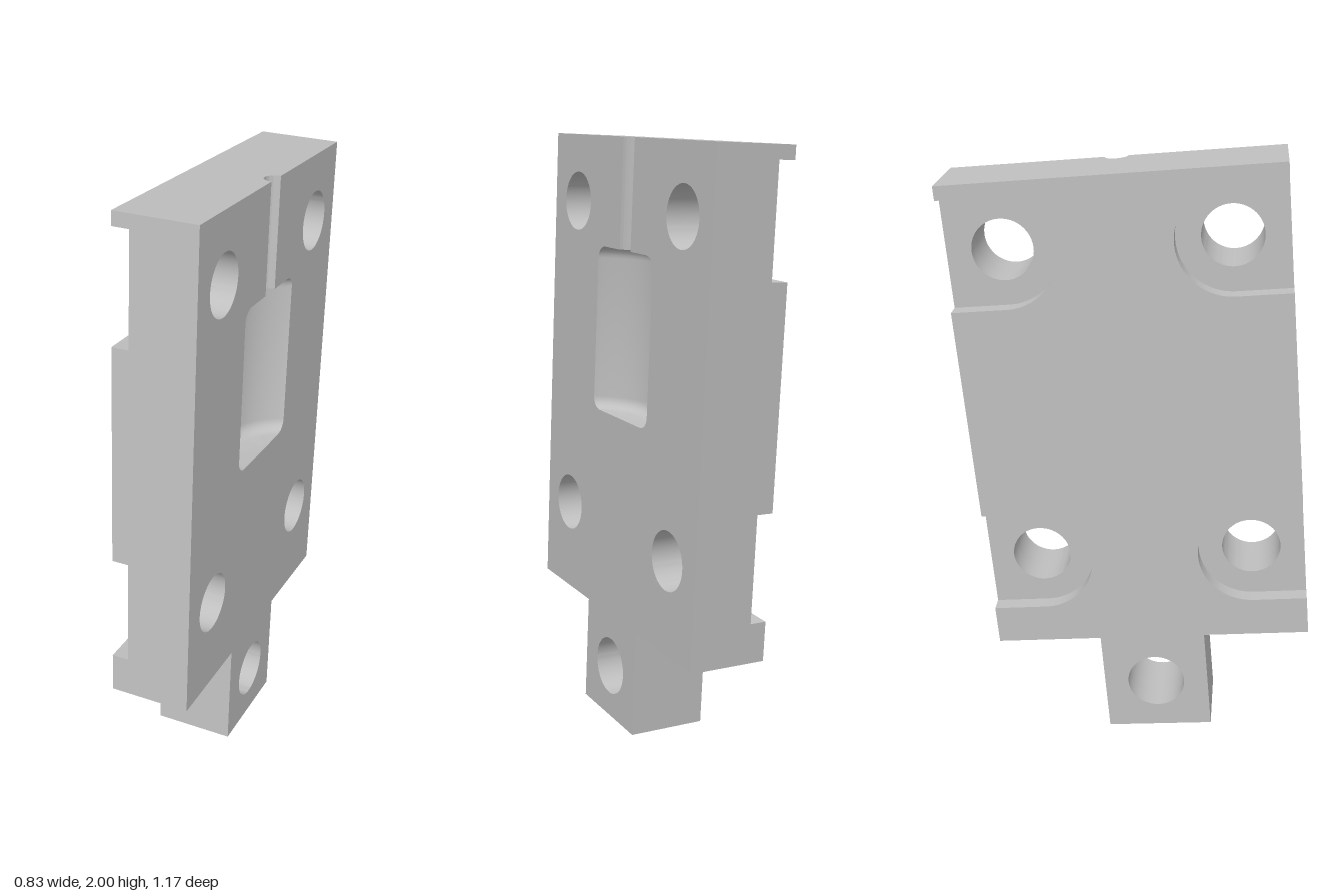
import * as THREE from 'three';
import { toCreasedNormals } from 'three/addons/utils/BufferGeometryUtils.js';

// Plate dimensions in its own frame: x across, y along, z through the thickness
const HALF_W = 0.53, TOP = 0.956, BASE = -0.63;
const TAB_W = 0.178, TAB_END = -0.988;
const FRONT = 0.132, BACK = -0.132, SLOT_Z = -0.077, CORE_Z = 0;
const HOLE_X = 0.354, HOLE_Y = [-0.323, 0.736], HOLE_R = 0.097, SLOT_R = 0.176;
const TAB_HOLE_Y = -0.81;
const GROOVE_R = 0.037;
const POCKET = { low: 0.056, high: 0.602, r: 0.206, axis: 0.086, fillet: 0.04 };

const circle = (x, y) => new THREE.Path().absarc(x, y, HOLE_R, 0, Math.PI * 2, true);

// Outline of plate and tab; right, top and left may add cut-outs on their edges
function outline(right, top, left) {
  const s = new THREE.Shape();
  s.moveTo(-TAB_W, BASE);
  s.lineTo(-TAB_W, TAB_END);
  s.lineTo(TAB_W, TAB_END);
  s.lineTo(TAB_W, BASE);
  s.lineTo(HALF_W, BASE);
  if (right) right(s);
  s.lineTo(HALF_W, TOP);
  if (top) top(s);
  s.lineTo(-HALF_W, TOP);
  if (left) left(s);
  s.lineTo(-HALF_W, BASE);
  s.holes.push(circle(0, TAB_HOLE_Y));
  return s;
}

function addCornerHoles(shape) {
  for (const y of HOLE_Y) for (const x of [-HOLE_X, HOLE_X]) shape.holes.push(circle(x, y));
  return shape;
}

function extrude(shape, z0, z1) {
  const g = new THREE.ExtrudeGeometry(shape, { depth: z1 - z0, bevelEnabled: false, curveSegments: 32 });
  g.translate(0, 0, z0);
  return toCreasedNormals(g, 0.5);
}

// Pocket rows [y, radius] from top to bottom: flat end, fillet, straight wall, mirrored
function pocketRows() {
  const { low, high, r, axis, fillet } = POCKET;
  const half = [[0, axis]];
  for (let i = 0; i <= 6; i++) {
    const a = (i / 6) * Math.PI / 2;
    half.push([fillet * (1 - Math.cos(a)), r - fillet + fillet * Math.sin(a)]);
  }
  return [
    ...half.map(([d, q]) => [high - d, q]),
    ...half.map(([d, q]) => [low + d, q]).reverse(),
  ];
}

// Part-cylinder hollow whose axis lies just in front of the face
function pocketGeometry(rows) {
  const n = 32;
  const g = new THREE.PlaneGeometry(1, 1, n, rows.length - 1);
  const p = g.attributes.position;
  rows.forEach(([y, r], j) => {
    const span = Math.acos(Math.min(1, POCKET.axis / r));
    for (let i = 0; i <= n; i++) {
      const a = span * (2 * i / n - 1);
      p.setXYZ(j * (n + 1) + i, r * Math.sin(a), y, FRONT + POCKET.axis - r * Math.cos(a));
    }
  });
  return toCreasedNormals(g, 0.6);
}

export function createModel() {
  const grey = new THREE.MeshStandardMaterial({ color: 0xbfbfbf });
  grey.name = 'plain grey';

  const model = new THREE.Group();
  model.name = 'mountingPlate';
  const add = (name, geometry) => {
    const mesh = new THREE.Mesh(geometry, grey);
    mesh.name = name;
    mesh.position.x = -0.016;
    model.add(mesh);
  };

  // Back layer with four round-ended slots open to the sides
  const rightSlots = s => {
    for (const y of HOLE_Y) {
      s.lineTo(HALF_W, y - SLOT_R);
      s.lineTo(HOLE_X, y - SLOT_R);
      s.absarc(HOLE_X, y, SLOT_R, -Math.PI / 2, Math.PI / 2, true);
      s.lineTo(HALF_W, y + SLOT_R);
    }
  };
  const leftSlots = s => {
    for (const y of [...HOLE_Y].reverse()) {
      s.lineTo(-HALF_W, y + SLOT_R);
      s.lineTo(-HOLE_X, y + SLOT_R);
      s.absarc(-HOLE_X, y, SLOT_R, Math.PI / 2, -Math.PI / 2, true);
      s.lineTo(-HALF_W, y - SLOT_R);
    }
  };
  add('backLayer', extrude(outline(rightSlots, null, leftSlots), BACK, SLOT_Z));

  // Core layer with only the bolt holes
  add('coreLayer', extrude(addCornerHoles(outline()), SLOT_Z, CORE_Z));

  // Front layer, opened for the groove and the pocket
  const rows = pocketRows();
  const rim = rows.slice(1, -1).map(([y, r]) => [Math.sqrt(r * r - POCKET.axis ** 2), y]);
  const frontCut = s => {
    s.lineTo(GROOVE_R, TOP);
    s.lineTo(GROOVE_R, POCKET.high);
    rim.forEach(([x, y]) => s.lineTo(x, y));
    [...rim].reverse().forEach(([x, y]) => s.lineTo(-x, y));
    s.lineTo(-GROOVE_R, POCKET.high);
    s.lineTo(-GROOVE_R, TOP);
  };
  add('frontLayer', extrude(addCornerHoles(outline(null, frontCut)), CORE_Z, FRONT));
  add('pocket', pocketGeometry(rows));

  // Half-round groove from the pocket to the top edge
  const channel = new THREE.Shape();
  channel.moveTo(-GROOVE_R, 0);
  channel.lineTo(-GROOVE_R, FRONT - CORE_Z);
  channel.lineTo(GROOVE_R, FRONT - CORE_Z);
  channel.lineTo(GROOVE_R, 0);
  channel.absarc(0, 0, GROOVE_R, 0, Math.PI, false);
  const groove = extrude(channel, POCKET.high, TOP);
  groove.rotateX(-Math.PI / 2);
  groove.translate(0, 0, FRONT);
  add('groove', groove);

  // The whole plate leans 5 degrees in its plane and is turned 60 degrees
  model.rotation.set(0, Math.PI / 3, -Math.PI / 36);
  model.position.y = 1;
  const root = new THREE.Group();
  root.name = 'model';
  root.add(model);
  return root;
}
